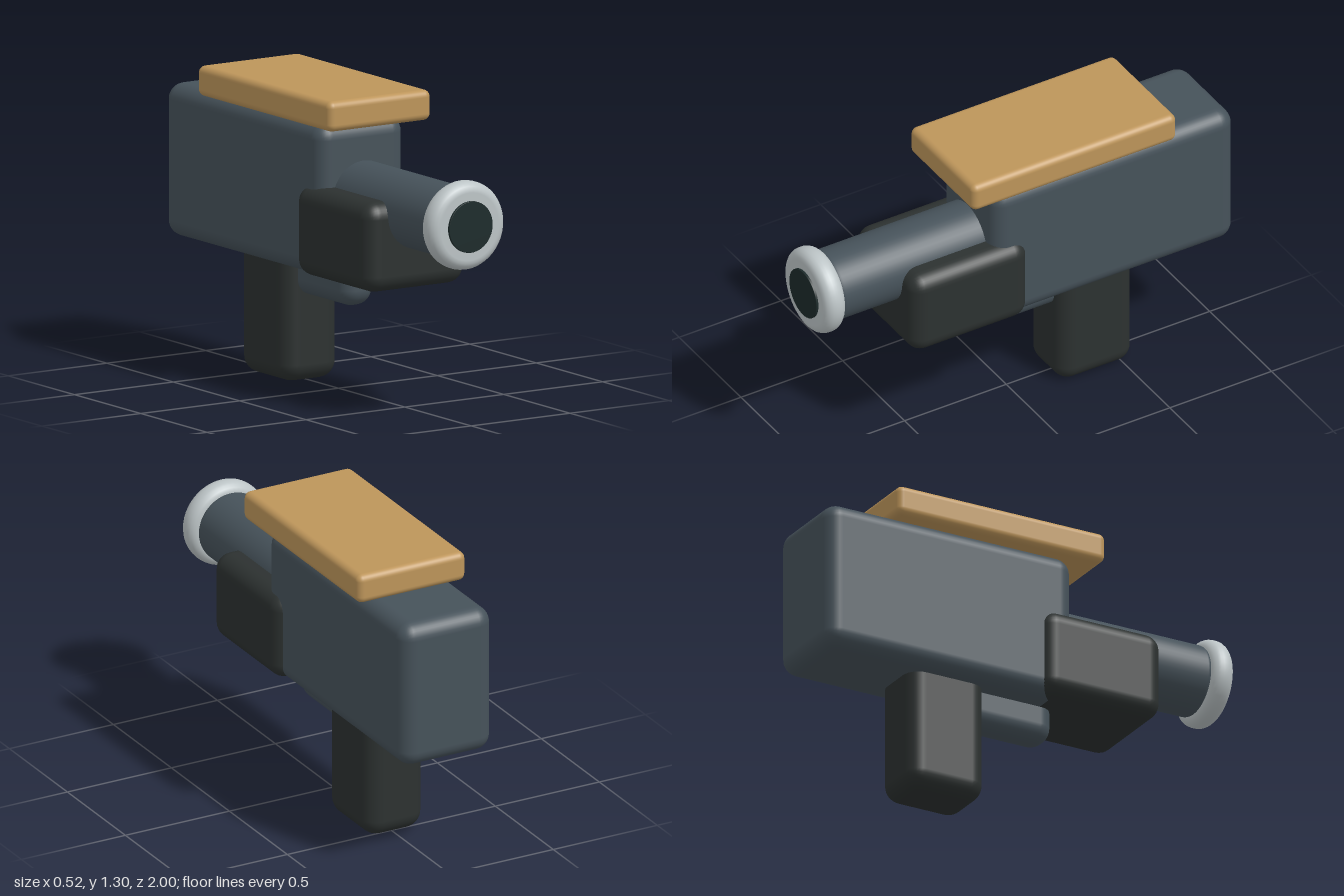
import * as THREE from 'three';
import { RoundedBoxGeometry } from 'three/addons/geometries/RoundedBoxGeometry.js';

const AXIS_Y = 0.85; // height of the barrel axis

export function createModel() {
  const group = new THREE.Group();
  const mat = (color) => new THREE.MeshStandardMaterial({ color });
  const steel = mat(0x46525a), dark = mat(0x2c3130), tan = mat(0xbd955a);
  const silver = mat(0xbcc4c6), bore = mat(0x1c2a2a);

  const add = (name, geometry, material) => {
    const mesh = new THREE.Mesh(geometry, material);
    mesh.name = name;
    group.add(mesh);
    return mesh;
  };

  // Rounded block, centred on x, given by its y and z ranges
  const block = (name, width, [y0, y1], [z0, z1], radius, material) =>
    add(name, new RoundedBoxGeometry(width, y1 - y0, z1 - z0, 4, radius), material)
      .position.set(0, (y0 + y1) / 2, (z0 + z1) / 2);

  // Closed round part along z with softened rims
  const turned = (name, radius, [z0, z1], bevel, material) => {
    const points = [new THREE.Vector2(0, z0)];
    for (const [zc, start] of [[z0 + bevel, -Math.PI / 2], [z1 - bevel, 0]]) {
      for (let i = 0; i <= 5; i++) {
        const a = start + (i / 5) * Math.PI / 2;
        points.push(new THREE.Vector2(radius - bevel + bevel * Math.cos(a), zc + bevel * Math.sin(a)));
      }
    }
    points.push(new THREE.Vector2(0, z1));
    const geometry = new THREE.LatheGeometry(points, 48).rotateX(Math.PI / 2);
    add(name, geometry, material).position.y = AXIS_Y;
  };

  // Main housing and the plate on top
  block('body', 0.44, [0.52, 1.175], [-1, 0.19], 0.07, steel);
  block('topPlate', 0.52, [1.17, 1.3], [-0.685, 0.32], 0.03, tan);

  // Handles and trigger housing
  block('foreGrip', 0.505, [0.52, 0.905], [0.03, 0.605], 0.07, dark);
  block('rearGrip', 0.28, [0, 0.62], [-0.555, -0.185], 0.075, dark);
  block('triggerHousing', 0.16, [0.375, 0.62], [-0.26, 0.175], 0.07, steel);

  // Barrel, muzzle ring and dark bore
  turned('barrel', 0.155, [0, 0.9], 0.025, steel);
  turned('muzzleRing', 0.19, [0.888, 0.99], 0.045, silver);
  turned('bore', 0.11, [0.96, 1], 0.002, bore);

  return group;
}
